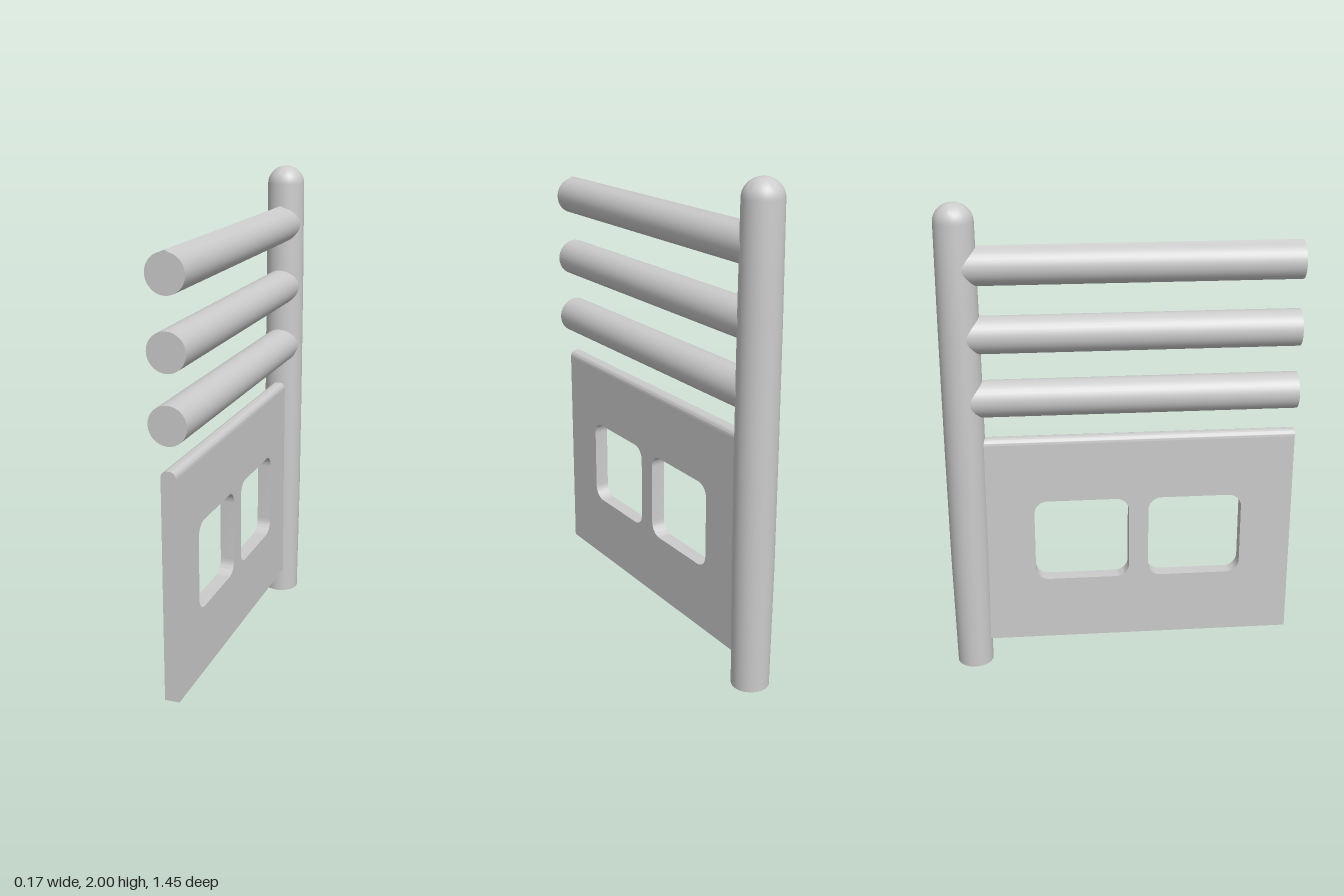
import * as THREE from 'three';
import { toCreasedNormals } from 'three/addons/utils/BufferGeometryUtils.js';

const POST_Z = -0.64;
const FRONT = 0.725;

function roundedHole(x0, x1, y0, y1, r) {
  const h = new THREE.Path();
  h.moveTo(x0 + r, y0);
  h.lineTo(x1 - r, y0);
  h.absarc(x1 - r, y0 + r, r, -Math.PI / 2, 0);
  h.absarc(x1 - r, y1 - r, r, 0, Math.PI / 2);
  h.absarc(x0 + r, y1 - r, r, Math.PI / 2, Math.PI);
  h.absarc(x0 + r, y0 + r, r, Math.PI, Math.PI * 1.5);
  return h;
}

export function createModel() {
  const group = new THREE.Group();
  const material = new THREE.MeshStandardMaterial({ color: 0xcccccc });
  const add = (name, geometry) => {
    const mesh = new THREE.Mesh(toCreasedNormals(geometry, 0.6), material);
    mesh.name = name;
    group.add(mesh);
    return mesh;
  };

  // Post: slightly swollen shaft with a domed top
  const profile = [[0, 0], [0.076, 0], [0.079, 0.25], [0.082, 0.5], [0.083, 1], [0.082, 1.5], [0.079, 1.925]]
    .map(([r, y]) => new THREE.Vector2(r, y));
  for (let i = 1; i <= 10; i++) {
    const a = (i / 10) * Math.PI / 2;
    profile.push(new THREE.Vector2(i === 10 ? 0 : 0.079 * Math.cos(a), 1.925 + 0.075 * Math.sin(a)));
  }
  add('post', new THREE.LatheGeometry(profile, 40)).position.z = POST_Z;

  // Round rails running forward from the post; the top one has a faint crest
  const length = FRONT - POST_Z;
  [['lowerRail', 1.208, 0], ['middleRail', 1.475, 0], ['upperRail', 1.751, 0.006]].forEach(([name, y, crest]) => {
    const geo = new THREE.CylinderGeometry(0.076, 0.076, length, 32).rotateX(Math.PI / 2);
    const pos = geo.attributes.position;
    for (let i = 0; i < pos.count; i++) {
      if (pos.getY(i) > 0.0755) pos.setY(i, pos.getY(i) + crest);
    }
    add(name, geo).position.set(0, y, (FRONT + POST_Z) / 2);
  });

  // Panel with two rounded windows
  const t = 0.03;
  const shoulder = 1.01;
  const back = -0.6;
  const shape = new THREE.Shape();
  shape.moveTo(back, 0.11);
  shape.lineTo(FRONT, 0.11);
  shape.lineTo(FRONT, shoulder);
  shape.lineTo(back, shoulder);
  shape.closePath();
  shape.holes.push(roundedHole(0.115, 0.51, 0.39, 0.755, 0.055), roundedHole(-0.365, 0.033, 0.39, 0.755, 0.055));
  const panel = new THREE.ExtrudeGeometry(shape, { depth: 2 * t, bevelEnabled: false, curveSegments: 8 });
  add('panel', panel.translate(0, 0, -t).rotateY(-Math.PI / 2));

  // Rounded upper edge of the panel
  const r = 0.025;
  const edge = new THREE.Shape();
  edge.moveTo(-t, shoulder);
  edge.lineTo(t, shoulder);
  edge.absarc(t - r, 1.038 - r, r, 0, Math.PI / 2);
  edge.absarc(r - t, 1.038 - r, r, Math.PI / 2, Math.PI);
  edge.closePath();
  add('panelTopEdge', new THREE.ExtrudeGeometry(edge, { depth: FRONT - back, bevelEnabled: false, curveSegments: 6 }))
    .position.z = back;

  return group;
}
